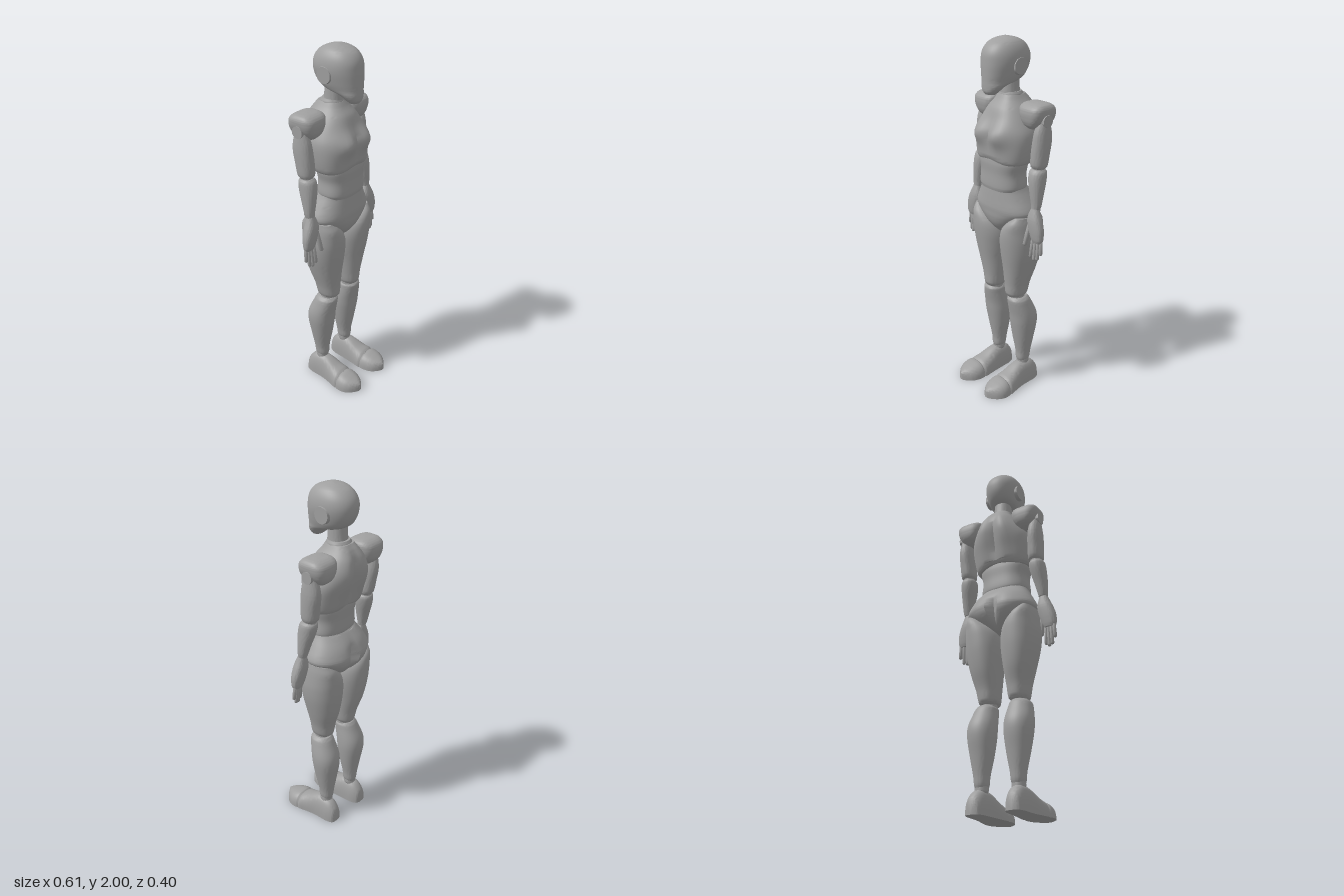
import * as THREE from 'three';
import { toCreasedNormals } from 'three/addons/utils/BufferGeometryUtils.js';

const SEG = 40, SUB = 5;

// Smooth interpolation of section rows, using the first column as parameter
function refine(rows) {
  const out = [];
  const slope = (i, k) => {
    const a = rows[Math.max(i - 1, 0)], b = rows[Math.min(i + 1, rows.length - 1)];
    return (b[k] - a[k]) / (b[0] - a[0]);
  };
  for (let i = 0; i < rows.length - 1; i++) {
    const p = rows[i], q = rows[i + 1], h = q[0] - p[0];
    for (let j = 0; j < SUB; j++) {
      const t = j / SUB, t2 = t * t, t3 = t2 * t;
      out.push(p.map((v, k) => k === 0 ? v + h * t :
        (2 * t3 - 3 * t2 + 1) * v + (t3 - 2 * t2 + t) * h * slope(i, k)
        + (3 * t2 - 2 * t3) * q[k] + (t3 - t2) * h * slope(i + 1, k)));
    }
  }
  out.push(rows[rows.length - 1]);
  return out;
}

// Loft through rows [y, xMin, xMax, zBack, zFront]; n squares the section, shape moves vertices
function loft(rows, { n = 2.2, shape } = {}) {
  const rings = refine(rows), pos = [], idx = [];
  const pw = v => Math.sign(v) * Math.abs(v) ** (2 / n);
  const v = new THREE.Vector3();
  const push = (x, y, z) => {
    v.set(x, y, z);
    if (shape) shape(v);
    pos.push(v.x, v.y, v.z);
  };
  for (const [y, x0, x1, z0, z1] of rings)
    for (let i = 0; i < SEG; i++) {
      const a = i / SEG * Math.PI * 2;
      push((x0 + x1) / 2 + (x1 - x0) / 2 * pw(Math.cos(a)), y, (z0 + z1) / 2 + (z1 - z0) / 2 * pw(Math.sin(a)));
    }
  const last = (rings.length - 1) * SEG, c = rings.length * SEG;
  for (const [y, x0, x1, z0, z1] of [rings[0], rings[rings.length - 1]]) push((x0 + x1) / 2, y, (z0 + z1) / 2);
  for (let i = 0; i < SEG; i++) {
    const k = (i + 1) % SEG;
    for (let r = 0; r < last; r += SEG)
      idx.push(r + i, r + SEG + i, r + k, r + k, r + SEG + i, r + SEG + k);
    idx.push(c, i, k, c + 1, last + k, last + i);
  }
  const g = new THREE.BufferGeometry();
  g.setAttribute('position', new THREE.Float32BufferAttribute(pos, 3));
  g.setIndex(idx);
  return g;
}

const sym = rows => rows.map(([y, w, z0, z1]) => [y, -w, w, z0, z1]);
const side = (rows, s) => rows.map(([y, a, b, z0, z1]) => [y, Math.min(s * a, s * b), Math.max(s * a, s * b), z0, z1]);
const bell = (d, w) => Math.exp(-((d / w) ** 2));

export function createModel() {
  const model = new THREE.Group();
  model.name = 'mannequin';
  const grey = new THREE.MeshStandardMaterial({ color: 0xa0a0a0 });
  grey.name = 'grey';
  const add = (name, geo, parent = model) => {
    const m = new THREE.Mesh(toCreasedNormals(geo, 0.75), grey);
    m.name = name;
    parent.add(m);
    return m;
  };

  // Head: smooth skull with a flat, tapering face
  add('head', loft(sym([
    [1.72, 0.03, 0.04, 0.088], [1.735, 0.045, 0.02, 0.098], [1.762, 0.064, -0.02, 0.1], [1.785, 0.077, -0.11, 0.1],
    [1.82, 0.09, -0.152, 0.1], [1.88, 0.102, -0.172, 0.098], [1.93, 0.097, -0.165, 0.09],
    [1.97, 0.077, -0.132, 0.06], [1.99, 0.05, -0.09, 0.015], [2, 0.012, -0.045, -0.025]])));
  add('neck', loft(sym([[1.66, 0.062, -0.13, -0.01], [1.71, 0.052, -0.118, -0.015], [1.8, 0.048, -0.11, -0.02]])));
  add('collar', loft(sym([[1.69, 0.064, -0.14, -0.012], [1.705, 0.064, -0.138, -0.012], [1.722, 0.056, -0.128, -0.018]])));

  // Chest with bust, hollow spine and shoulder blades
  add('chest', loft(sym([
    [1.36, 0.155, -0.135, 0.07], [1.375, 0.166, -0.145, 0.077], [1.45, 0.178, -0.165, 0.078],
    [1.52, 0.176, -0.185, 0.07], [1.58, 0.15, -0.195, 0.055], [1.64, 0.112, -0.188, 0.035],
    [1.68, 0.08, -0.168, 0.005], [1.708, 0.062, -0.145, -0.012]]), {
    n: 2.5,
    shape: v => {
      const ax = Math.abs(v.x);
      if (v.z > -0.02) v.z += 0.042 * bell(ax - 0.07, 0.06) * bell(v.y - 1.515, 0.06) * Math.min(1, (v.z + 0.02) / 0.05);
      if (v.z < -0.1) v.z += bell(v.y - 1.53, 0.14) * (0.02 * bell(v.x, 0.025) - 0.012 * bell(ax - 0.06, 0.04));
      if (v.y < 1.39) v.y += 0.018 * bell(v.x, 0.08);
    }
  }));
  add('abdomen', loft(sym([
    [1.21, 0.13, -0.115, 0.068], [1.23, 0.139, -0.122, 0.072], [1.3, 0.133, -0.122, 0.07],
    [1.36, 0.145, -0.125, 0.072], [1.4, 0.14, -0.12, 0.065]]), { n: 2.5 }));

  // Pelvis narrowing to a V between the legs, with rounded buttocks
  add('pelvis', loft(sym([
    [0.952, 0.02, -0.075, 0], [0.975, 0.06, -0.12, 0.025], [1.01, 0.11, -0.16, 0.05], [1.05, 0.16, -0.185, 0.064],
    [1.085, 0.2, -0.192, 0.068], [1.11, 0.199, -0.19, 0.07], [1.16, 0.172, -0.172, 0.067],
    [1.21, 0.143, -0.135, 0.063], [1.237, 0.13, -0.11, 0.06], [1.247, 0.118, -0.1, 0.05]]), {
    n: 2.3,
    shape: v => {
      if (v.z < -0.08) v.z += bell(v.y - 1.07, 0.08) * (0.035 * bell(v.x, 0.018) - 0.008 * bell(Math.abs(v.x) - 0.075, 0.05));
      if (v.y > 1.22) v.y -= 0.012 * bell(v.x, 0.06);
    }
  }));

  for (const s of [1, -1]) {
    const label = s > 0 ? 'left' : 'right';
    const arm = new THREE.Group(), leg = new THREE.Group(), hand = new THREE.Group();
    arm.name = label + 'Arm';
    leg.name = label + 'Leg';
    hand.name = label + 'Hand';
    model.add(arm, leg);
    arm.add(hand);
    const limb = (name, rows, parent, opt) => add(name, loft(side(rows, s), opt), parent);

    // Ear disc
    const ear = add(label + 'Ear', new THREE.CylinderGeometry(0.042, 0.046, 0.02, 32).rotateZ(-s * Math.PI / 2));
    ear.position.set(s * 0.096, 1.86, -0.05);

    // Shoulder cap with pivot, upper arm, elbow and forearm
    limb('shoulderCap', [
      [1.555, 0.15, 0.205, -0.14, -0.05], [1.575, 0.128, 0.228, -0.165, -0.028], [1.61, 0.108, 0.25, -0.177, -0.016],
      [1.65, 0.1, 0.258, -0.176, -0.015], [1.672, 0.104, 0.252, -0.162, -0.028],
      [1.686, 0.125, 0.232, -0.135, -0.055], [1.69, 0.165, 0.195, -0.105, -0.085]], arm, { n: 3.4 });
    add('shoulderPivot', new THREE.CylinderGeometry(0.032, 0.032, 0.06, 28).rotateZ(Math.PI / 2), arm)
      .position.set(s * 0.23, 1.602, -0.095);
    limb('upperArm', [
      [1.352, 0.185, 0.25, -0.11, -0.045], [1.365, 0.177, 0.258, -0.122, -0.032], [1.43, 0.178, 0.262, -0.135, -0.03],
      [1.5, 0.184, 0.263, -0.146, -0.035], [1.545, 0.19, 0.26, -0.142, -0.042], [1.6, 0.2, 0.254, -0.125, -0.062]], arm);
    add('elbow', new THREE.SphereGeometry(0.034, 24, 16), arm).position.set(s * 0.218, 1.35, -0.076);
    limb('forearm', [
      [1.142, 0.214, 0.262, -0.064, -0.018], [1.16, 0.211, 0.266, -0.07, -0.018], [1.22, 0.197, 0.268, -0.088, -0.014],
      [1.29, 0.18, 0.267, -0.11, -0.014], [1.335, 0.176, 0.263, -0.115, -0.024], [1.35, 0.186, 0.253, -0.105, -0.038]], arm);

    // Hand: palm, four fingers and thumb
    limb('palm', [
      [0.962, 0.238, 0.296, -0.045, -0.012], [0.98, 0.228, 0.304, -0.05, -0.006], [1.03, 0.21, 0.303, -0.058, 0],
      [1.08, 0.2, 0.288, -0.062, 0], [1.11, 0.205, 0.275, -0.06, -0.006], [1.15, 0.22, 0.258, -0.055, -0.02]], hand, { n: 2.6 });
    const digit = (name, a, b, r) => {
      const from = new THREE.Vector3(s * a[0], a[1], a[2]), to = new THREE.Vector3(s * b[0], b[1], b[2]);
      const d = to.clone().sub(from);
      const m = add(name, new THREE.CapsuleGeometry(r, d.length(), 6, 14), hand);
      m.position.copy(from).add(to).multiplyScalar(0.5);
      m.quaternion.setFromUnitVectors(new THREE.Vector3(0, 1, 0), d.normalize());
    };
    [0.88, 0.866, 0.872, 0.905].forEach((tip, i) =>
      digit('finger', [0.24 + i * 0.017, 0.985, -0.024 - i * 0.003], [0.236 + i * 0.02, tip, -0.012 - i * 0.005], 0.0098));
    digit('thumb', [0.218, 1.05, -0.018], [0.203, 0.945, 0], 0.0125);

    // Thigh, knee and shin
    limb('thigh', [
      [0.578, 0.05, 0.132, -0.098, 0.01], [0.59, 0.038, 0.142, -0.108, 0.02], [0.66, 0.028, 0.157, -0.122, 0.026],
      [0.75, 0.018, 0.182, -0.15, 0.038], [0.85, 0.007, 0.205, -0.168, 0.054], [0.93, 0.008, 0.213, -0.175, 0.064],
      [0.99, 0.03, 0.21, -0.176, 0.066], [1.04, 0.08, 0.204, -0.168, 0.058], [1.078, 0.13, 0.196, -0.14, 0.03]], leg);
    add('knee', new THREE.SphereGeometry(0.045, 24, 16), leg).position.set(s * 0.092, 0.572, -0.045);
    limb('shin', [
      [0.14, 0.075, 0.137, -0.12, -0.05], [0.155, 0.069, 0.142, -0.125, -0.045], [0.2, 0.064, 0.147, -0.13, -0.043],
      [0.3, 0.045, 0.167, -0.145, -0.026], [0.4, 0.033, 0.183, -0.16, -0.01], [0.46, 0.033, 0.183, -0.155, -0.003],
      [0.53, 0.04, 0.168, -0.125, 0.01], [0.56, 0.044, 0.158, -0.11, 0.012], [0.572, 0.055, 0.145, -0.1, 0]], leg);
    add('ankle', new THREE.SphereGeometry(0.036, 24, 16), leg).position.set(s * 0.106, 0.135, -0.085);

    // Foot and toe cap, lofted from heel to toe with a flat sole
    const foot = (name, rows) => {
      const full = rows.map(([z, a, b, h]) => [z, a, b, -h, h]);
      const geo = loft(side(full, s), { n: 2.6, shape: v => { v.z = Math.min(v.z, 0); } });
      add(name, geo.rotateX(Math.PI / 2), leg);
    };
    foot('foot', [
      [-0.173, 0.095, 0.132, 0.05], [-0.165, 0.078, 0.148, 0.082], [-0.13, 0.063, 0.16, 0.122], [-0.08, 0.058, 0.163, 0.134],
      [-0.03, 0.053, 0.167, 0.128], [0.03, 0.046, 0.18, 0.1], [0.07, 0.041, 0.19, 0.085], [0.08, 0.046, 0.185, 0.078]]);
    foot('toeCap', [
      [0.075, 0.046, 0.186, 0.074], [0.09, 0.041, 0.193, 0.083], [0.13, 0.045, 0.192, 0.076],
      [0.165, 0.06, 0.175, 0.064], [0.19, 0.085, 0.148, 0.053], [0.204, 0.106, 0.126, 0.042]]);
  }
  return model;
}
